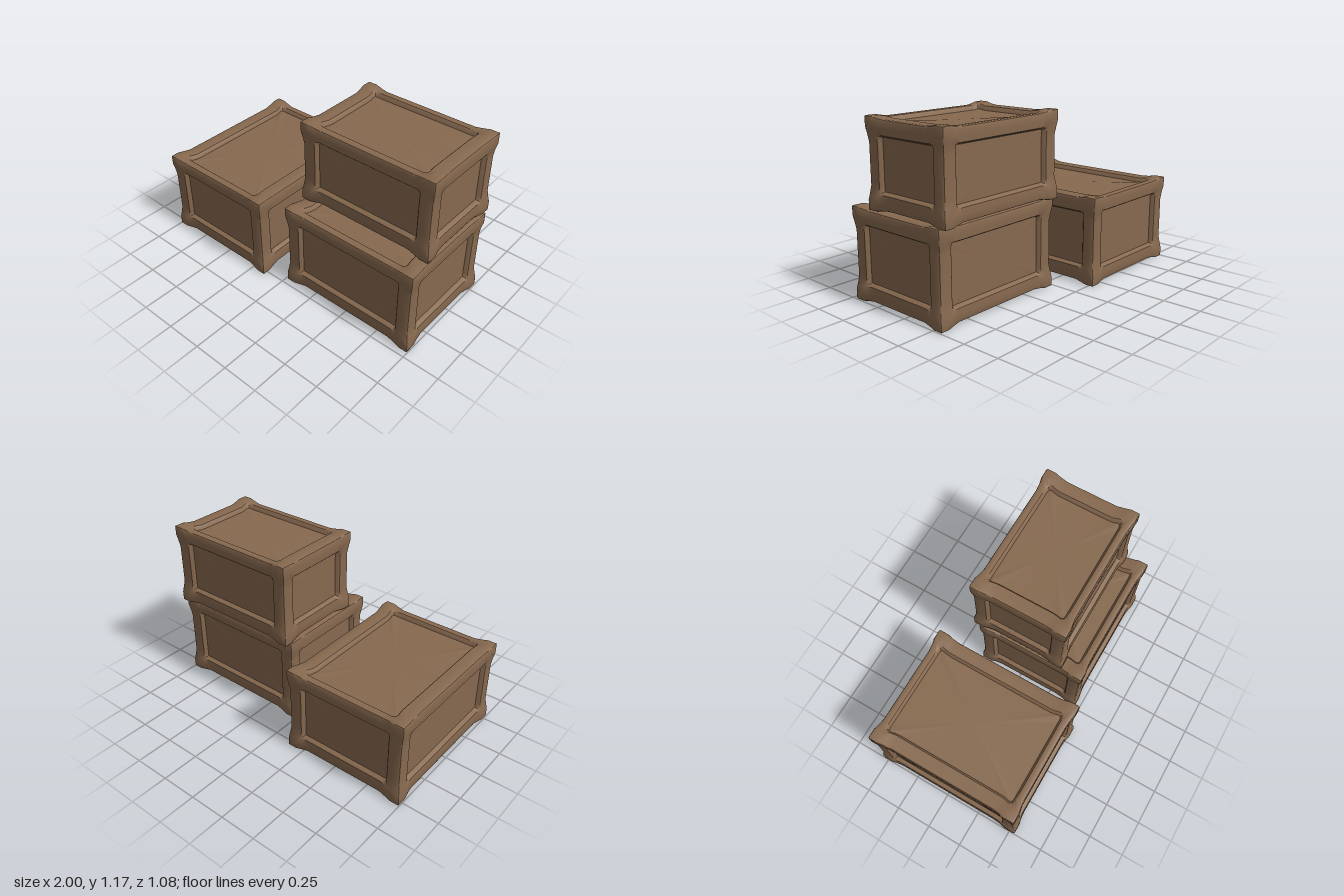
import * as THREE from 'three';
import { toCreasedNormals } from 'three/addons/utils/BufferGeometryUtils.js';

const FLARE = 0.014;   // how far the corner blocks stand proud
const ROUND = 0.014;   // softened outer edges
const RECESS = 0.03;   // depth of the sunken panels

// Frame width on a face with normal axis w (row), measured along each axis (column)
const FRAME = [
  [0, 0.1, 0.09],
  [0.1, 0, 0.055],
  [0.095, 0.095, 0],
];

// Rectangle outline as [u, v] points, counter-clockwise, corners cut by r
function ring(hu, hv, r, offsets) {
  const points = [];
  for (let k = 0; k < 4; k++) {
    const along = k % 2 ? hv : hu;
    const out = k % 2 ? hu : hv;
    const cut = r * 0.3;
    const side = [[-along + cut, out - cut]];
    offsets.forEach((o) => side.push([-along + o, out]));
    side.push([0, out]);
    [...offsets].reverse().forEach((o) => side.push([along - o, out]));
    for (const [a, b] of side) {
      points.push([[a, -b], [b, a], [-a, b], [-b, -a]][k]);
    }
  }
  return points;
}

function makeCrate(name, min, max, material) {
  const centre = min.map((m, i) => (m + max[i]) / 2);
  const h = min.map((m, i) => (max[i] - m) / 2 - FLARE);
  const framePos = [];
  const panelPos = [];

  // Push points outward near the ends of each edge to form corner blocks
  const flare = (p) => {
    const s = p.map((c, i) => THREE.MathUtils.smoothstep(Math.abs(c), h[i] - 0.145, h[i] - 0.065));
    return p.map((c, i) => c + Math.sign(c) * FLARE * s[(i + 1) % 3] * s[(i + 2) % 3]);
  };

  for (let w = 0; w < 3; w++) {
    const u = (w + 1) % 3;
    const v = (w + 2) % 3;
    const iu = FRAME[w][u];
    const iv = FRAME[w][v];
    for (const sign of [1, -1]) {
      const loop = (du, dv, depth, r, offsets) => ring(h[u] - du, h[v] - dv, r, offsets).map(([a, b]) => {
        const p = [0, 0, 0];
        p[u] = a;
        p[v] = b;
        p[w] = sign * (h[w] - depth);
        return flare(p);
      });
      const tri = (list, a, b, c) => list.push(...a, ...(sign > 0 ? b : c), ...(sign > 0 ? c : b));
      const outer = [0.06, 0.1, 0.15];
      const inner = [0.03, 0.055, 0.09];
      const slope = 0.009;

      // Outer edge, frame face, lip and sunken wall
      const loops = [
        loop(ROUND * 0.3, ROUND * 0.3, ROUND * 0.3, 0, outer),
        loop(ROUND, ROUND, 0, 0, outer),
        loop((iu + ROUND) / 2, (iv + ROUND) / 2, 0, 0.01, [0.045, 0.08, 0.12]),
        loop(iu - 0.006, iv - 0.006, 0.002, 0.03, inner),
        loop(iu, iv, 0.008, 0.03, inner),
        loop(iu + slope, iv + slope, RECESS, 0.025, inner),
      ];
      for (let l = 0; l < loops.length - 1; l++) {
        const A = loops[l];
        const B = loops[l + 1];
        A.forEach((a, i) => {
          const j = (i + 1) % A.length;
          tri(framePos, a, A[j], B[j]);
          tri(framePos, a, B[j], B[i]);
        });
      }

      // Flat sunken panel
      const mid = [0, 0, 0];
      mid[w] = sign * (h[w] - RECESS);
      const rim = loops[loops.length - 1];
      rim.forEach((a, i) => tri(panelPos, mid, a, rim[(i + 1) % rim.length]));
    }
  }

  const crate = new THREE.Group();
  crate.name = name;
  crate.position.set(...centre);
  for (const [part, positions] of [['frame', framePos], ['panels', panelPos]]) {
    const geometry = new THREE.BufferGeometry();
    geometry.setAttribute('position', new THREE.Float32BufferAttribute(positions, 3));
    const mesh = new THREE.Mesh(toCreasedNormals(geometry, 0.6), material);
    mesh.name = part;
    crate.add(mesh);
  }
  return crate;
}

export function createModel() {
  const wood = new THREE.MeshStandardMaterial({ color: 0x87694f });
  wood.name = 'brown wood';

  const model = new THREE.Group();
  model.name = 'crateStack';
  model.add(
    makeCrate('longCrate', [-1, 0, -0.54], [-0.135, 0.6, 0.54], wood),
    makeCrate('lowerCrate', [0.012, 0, -0.32], [1, 0.61, 0.465], wood),
    makeCrate('upperCrate', [0.02, 0.603, -0.363], [0.99, 1.172, 0.308], wood),
  );
  return model;
}
